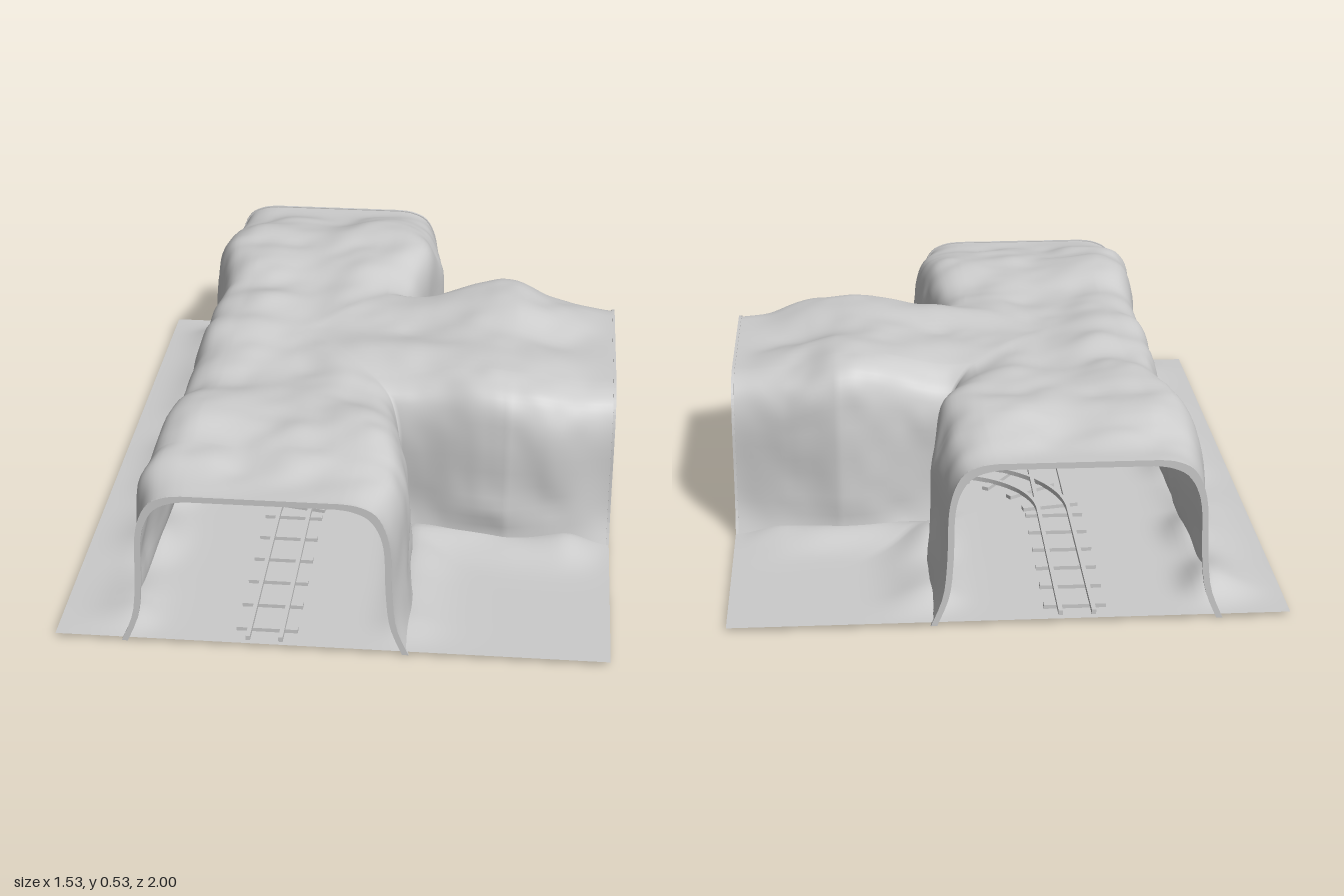
import * as THREE from 'three';
import { mergeVertices, mergeGeometries } from 'three/addons/utils/BufferGeometryUtils.js';

const AXIS = -0.185, END = 0.757, HALF = 0.38, BRANCH = 0.39, GROUND = 0.014;
const grey = new THREE.MeshStandardMaterial({ color: 0xcccccc, side: THREE.DoubleSide });

// Smooth seeded value noise in the range -1..1
function hash(x, y, z) {
  const s = Math.sin(x * 127.1 + y * 311.7 + z * 74.7) * 43758.5453;
  return (s - Math.floor(s)) * 2 - 1;
}
function noise(x, y, z) {
  const c = [x, y, z].map(Math.floor);
  const f = [x - c[0], y - c[1], z - c[2]].map(v => v * v * (3 - 2 * v));
  let sum = 0;
  for (let k = 0; k < 8; k++) {
    const b = [k & 1, (k >> 1) & 1, k >> 2];
    const w = b.reduce((p, bit, i) => p * (bit ? f[i] : 1 - f[i]), 1);
    sum += w * hash(c[0] + b[0], c[1] + b[1], c[2] + b[2]);
  }
  return sum;
}
const rough = (x, y, z) => noise(x * 7, y * 7, z * 7) + 0.3 * noise(x * 15, y * 15, z * 15 + 9);
const endDistance = (x, z) => Math.max(0, Math.min(1 - Math.abs(z), END - x));
const smooth = THREE.MathUtils.smoothstep;

// Half arch section: inset from the wall foot, height
const section = new THREE.SplineCurve([
  [-0.012, 0.002], [0.022, 0.09], [0.034, 0.2], [0.038, 0.32],
  [0.052, 0.39], [0.08, 0.438], [0.125, 0.46], [0.17, 0.466],
].map(p => new THREE.Vector2(...p))).getPoints(24);

// Rock patch swept along a wall foot path, rising to the roof ridge path
function rockPatch(foot, ridge, n) {
  const pos = [], idx = [], ROOF = 10, M = section.length + ROOF;
  const rows = (foot.length - 1) * n;
  for (let i = 0; i <= rows; i++) {
    const k = Math.min(Math.floor(i / n), foot.length - 2), t = i / n - k;
    const a = new THREE.Vector2().lerpVectors(foot[k], foot[k + 1], t);
    const b = new THREE.Vector2().lerpVectors(ridge[k], ridge[k + 1], t);
    const len = a.distanceTo(b), out = a.clone().sub(b).divideScalar(len);
    for (let j = 0; j < M; j++) {
      const last = section[section.length - 1];
      const roofT = Math.max(0, (j - section.length + 1) / ROOF);
      const s = section[Math.min(j, section.length - 1)];
      const f = roofT > 0 ? THREE.MathUtils.lerp(last.x / len, 1, roofT) : s.x / len;
      const p = new THREE.Vector2().lerpVectors(a, b, f);
      const e = endDistance(p.x, p.y), fade = smooth(e, 0, 0.18);
      const r = rough(p.x, s.y, p.y);
      const belly = 0.031 * smooth(e, 0, 0.2) * (1 - smooth(e, 0.38, 0.6));
      const push = (belly + 0.016 * r * fade) * (1 - smooth(f, 0, 0.8)) * smooth(s.y, 0, 0.12);
      // Roof swells behind each mouth, sags along the centre line and dips at the inner corners
      const rise = 0.058 * smooth(e, 0, 0.38) - 0.018 * smooth(e, 0.42, 0.65);
      const sag = 0.015 * smooth(f, 0.5, 1) * fade;
      const corner = 0.05 * Math.exp(-((p.x - 0.15) ** 2 + (Math.abs(p.y) - 0.38) ** 2) / 0.025);
      // Folds running from the ridge down to the wall
      const fold = 0.016 * noise((a.x + 2 * a.y) * 4.5, f * 1.5, 3) * (1 - smooth(f, 0.6, 1));
      const lift = (rise - sag - corner + (0.013 * r + fold) * fade) * smooth(s.y, 0.15, 0.46);
      pos.push(p.x + out.x * push, s.y + lift, p.y + out.y * push);
      if (i < rows && j < M - 1) {
        const q = i * M + j;
        idx.push(q, q + M, q + 1, q + M, q + M + 1, q + 1);
      }
    }
  }
  const g = new THREE.BufferGeometry();
  g.setAttribute('position', new THREE.Float32BufferAttribute(pos, 3));
  g.setIndex(idx);
  return g;
}

// Whole T-shaped rock roof, welded so it shades as one skin
function rockGeometry() {
  const v = (x, z) => new THREE.Vector2(x, z);
  const flip = path => path.map(p => v(p.x, -p.y)).reverse();
  const L = AXIS - HALF, R = AXIS + HALF, n = 30;
  const leftFoot = [v(L, -1), v(L + 0.008, -0.75), v(L + 0.014, 0), v(L + 0.008, 0.75), v(L, 1)];
  const leftRidge = [-1, -0.75, 0, 0.75, 1].map(z => v(AXIS, z));
  const foot = [v(R, 1), v(R + 0.008, 0.75), v(0.155, 0.4), v(0.45, 0.43), v(END, BRANCH)];
  const ridge = [v(AXIS, 1), v(AXIS, 0.75), v(AXIS, 0), v(0.45, 0), v(END, 0)];
  const patches = [
    rockPatch(leftFoot, leftRidge, n),
    rockPatch(foot, ridge, n),
    rockPatch(flip(foot), flip(ridge), n),
  ];
  const g = mergeVertices(mergeGeometries(patches), 1e-4);
  g.computeVertexNormals();
  return g;
}

// Thin lip around a tunnel mouth
function mouthRim(half) {
  const side = inset => section.map(p => new THREE.Vector2(half - p.x - inset, p.y - inset * smooth(p.y, 0.3, 0.46)));
  const arch = inset => {
    const right = side(inset);
    return [...right, ...right.map(p => new THREE.Vector2(-p.x, p.y)).reverse()];
  };
  const shape = new THREE.Shape([...arch(-0.003), ...arch(0.014).reverse()]);
  return new THREE.ExtrudeGeometry(shape, { depth: 0.008, bevelEnabled: false });
}

// Ground sheet with banked earth along the walls
function groundGeometry() {
  const g = new THREE.PlaneGeometry(0.765 + END, 2, 80, 100).rotateX(-Math.PI / 2);
  g.translate((END - 0.765) / 2, GROUND, 0);
  const p = g.attributes.position;
  for (let i = 0; i < p.count; i++) {
    const x = p.getX(i), z = p.getZ(i);
    const d = Math.min(Math.abs(x - AXIS) - HALF, Math.max(Math.abs(z) - BRANCH - 0.025, AXIS - x));
    const bank = Math.exp(-((d / (d > 0 ? 0.1 : 0.06)) ** 2));
    const h = 0.032 + 0.024 * noise(x * 6, 2, z * 6);
    p.setY(i, GROUND + bank * h * smooth(endDistance(x, z), 0, 0.15));
  }
  g.computeVertexNormals();
  return g;
}

export function createModel() {
  const model = new THREE.Group();
  const add = (name, geometry, x = 0, y = 0, z = 0, turn = 0, parent = model) => {
    const m = new THREE.Mesh(geometry, grey);
    m.name = name;
    m.position.set(x, y, z);
    m.rotation.y = turn;
    parent.add(m);
  };

  add('ground', groundGeometry());
  add('rockTunnel', rockGeometry());
  add('frontRim', mouthRim(HALF), AXIS, 0, 0.992);
  add('backRim', mouthRim(HALF), AXIS, 0, -1);
  add('branchRim', mouthRim(BRANCH), END - 0.008, 0, 0, Math.PI / 2);

  const track = new THREE.Group();
  track.name = 'track';
  model.add(track);
  const GAUGE = 0.045, RAIL = 0.012, TOP = 0.024, BEND = 0.33;
  const tie = new THREE.BoxGeometry(0.17, 0.014, 0.022);
  const sleeper = (x, z, turn) => add('sleeper', tie, x, 0.018, z, turn, track);

  // Straight rails
  const bendX = AXIS + BEND;
  for (const s of [-1, 1]) {
    add('mainRail', new THREE.BoxGeometry(RAIL, 0.014, 2), AXIS + s * GAUGE, TOP + 0.007, 0, 0, track);
    add('branchRail', new THREE.BoxGeometry(0.763 - bendX, 0.014, RAIL),
      (0.763 + bendX) / 2, TOP + 0.007, s * GAUGE, 0, track);
  }
  // Straight sleepers
  for (let i = 0; i < 6; i++) {
    for (const s of [-1, 1]) sleeper(AXIS, s * (0.93 - i * 0.12), 0);
    if (i < 5) sleeper(0.68 - i * 0.12, 0, Math.PI / 2);
  }
  // Curved rails and sleepers joining the branch to both ends of the main line
  for (const s of [-1, 1]) {
    for (const r of [BEND - GAUGE, BEND + GAUGE]) {
      const from = s > 0 ? Math.PI / 2 : Math.PI, to = from + Math.PI / 2;
      const arc = new THREE.Shape();
      arc.absarc(0, 0, r + RAIL / 2, from, to, false);
      arc.absarc(0, 0, r - RAIL / 2, to, from, true);
      const g = new THREE.ExtrudeGeometry(arc, { depth: 0.014, bevelEnabled: false, curveSegments: 16 });
      add('curvedRail', g.rotateX(-Math.PI / 2), bendX, TOP, s * BEND, 0, track);
    }
    for (let i = 0; i < 4; i++) {
      const a = (0.12 + i * 0.25) * Math.PI / 2;
      sleeper(bendX - BEND * Math.cos(a), s * (BEND - BEND * Math.sin(a)), -s * a);
    }
  }
  return model;
}
